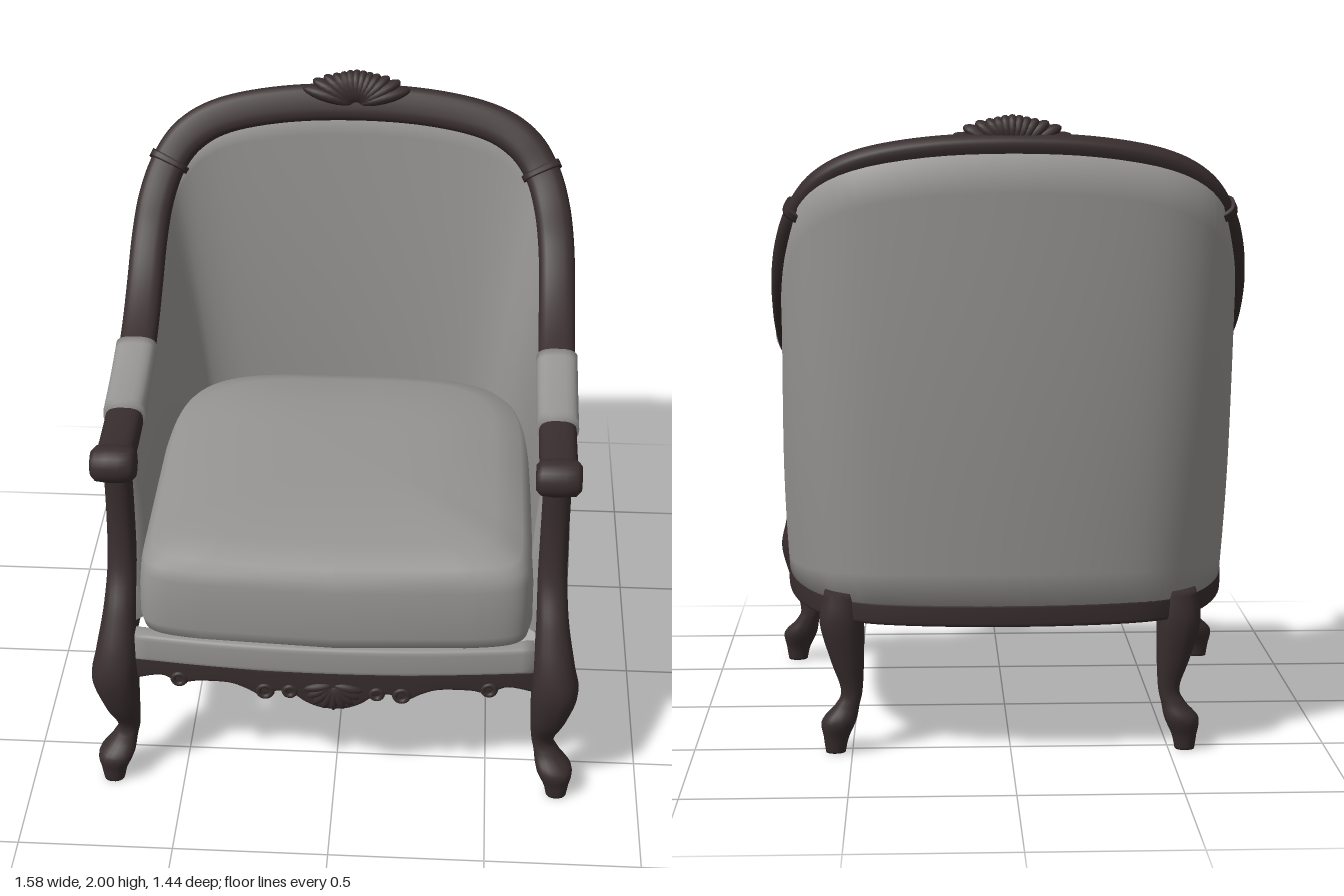
import * as THREE from 'three';

const wood = new THREE.MeshStandardMaterial({ color: 0x382d2e });
wood.name = 'dark wood';
const fabric = new THREE.MeshStandardMaterial({ color: 0x979593 });
fabric.name = 'grey fabric';

const V = (x, y, z) => new THREE.Vector3(x, y, z);
const spline = (pts) => new THREE.CatmullRomCurve3(pts, false, 'catmullrom', 0.5);
const spow = (v, e) => Math.sign(v) * Math.abs(v) ** e;

// Closed solid through equal-sized rings, with fan caps; faces always turn outward
function loft(rings) {
  const m = rings[0].length, pos = [], idx = [];
  rings.forEach((r) => r.forEach((p) => pos.push(p.x, p.y, p.z)));
  for (let i = 0; i < rings.length - 1; i++) {
    for (let j = 0; j < m; j++) {
      const a = i * m + j, b = i * m + (j + 1) % m;
      idx.push(a, b, a + m, b, b + m, a + m);
    }
  }
  [0, rings.length - 1].forEach((k) => {
    const c = V(0, 0, 0), centre = pos.length / 3;
    rings[k].forEach((p) => c.addScaledVector(p, 1 / m));
    pos.push(c.x, c.y, c.z);
    for (let j = 0; j < m; j++) {
      const a = k * m + j, b = k * m + (j + 1) % m;
      idx.push(...(k ? [a, b, centre] : [b, a, centre]));
    }
  });
  let volume = 0;
  const at = (i) => V(pos[3 * i], pos[3 * i + 1], pos[3 * i + 2]);
  for (let i = 0; i < idx.length; i += 3) volume += at(idx[i]).dot(at(idx[i + 1]).cross(at(idx[i + 2])));
  if (volume < 0) idx.reverse();
  const g = new THREE.BufferGeometry();
  g.setAttribute('position', new THREE.Float32BufferAttribute(pos, 3));
  g.setIndex(idx);
  g.computeVertexNormals();
  return g;
}

// Rounded cross-section around p, spanned by two directions
function section(p, du, dv, w, h, n = 2.8, count = 24) {
  return Array.from({ length: count }, (_, k) => {
    const a = (k / count) * Math.PI * 2;
    return p.clone().addScaledVector(du, spow(Math.cos(a), 2 / n) * w / 2)
      .addScaledVector(dv, spow(Math.sin(a), 2 / n) * h / 2);
  });
}

// Half of the frame, arm to crest: rail x, y, z, tilt, width, thickness, then plan x, z at seat level
const HALF = [
  [0.69, 1.18, 0.56, 0, 0.12, 0.095, 0.7, 0.72],
  [0.69, 1.183, 0.4, 0.04, 0.12, 0.095, 0.7, 0.5],
  [0.69, 1.2, 0.25, 0.15, 0.12, 0.09, 0.7, 0.3],
  [0.69, 1.235, 0.08, 0.28, 0.12, 0.085, 0.695, 0.08],
  [0.69, 1.295, -0.1, 0.42, 0.12, 0.08, 0.682, -0.1],
  [0.69, 1.38, -0.25, 0.62, 0.12, 0.08, 0.656, -0.25],
  [0.685, 1.49, -0.37, 0.82, 0.12, 0.08, 0.616, -0.37],
  [0.667, 1.6, -0.45, 0.95, 0.12, 0.08, 0.577, -0.45],
  [0.63, 1.695, -0.525, 1.0, 0.12, 0.08, 0.528, -0.52],
  [0.56, 1.78, -0.575, 1.05, 0.125, 0.08, 0.455, -0.572],
  [0.44, 1.838, -0.61, 1.08, 0.125, 0.08, 0.36, -0.605],
  [0.24, 1.872, -0.632, 1.1, 0.125, 0.08, 0.2, -0.63],
  [0, 1.882, -0.64, 1.1, 0.125, 0.08, 0, -0.64],
];
const mirrored = HALF.slice(0, -1).reverse().map(([x, y, z, a, w, h, bx, bz]) => [-x, y, z, a, w, h, -bx, bz]);
const ROWS = [...HALF, ...mirrored], LAST = ROWS.length - 1;
const railCurve = spline(ROWS.map((r) => V(r[0], r[1], r[2])));
const sizeCurve = spline(ROWS.map((r) => V(r[3], r[4], r[5])));
const planCurve = spline(ROWS.map((r) => V(r[6], 0, r[7])));

// Stretch of the top rail between two rows, optionally thicker and raised
function railPiece(from, to, steps, grow = 0, lift = 0) {
  const rings = [];
  for (let i = 0; i <= steps; i++) {
    const u = (from + (to - from) * i / steps) / LAST;
    const t = railCurve.getTangent(u), s = sizeCurve.getPoint(u);
    const n = V(0, Math.cos(s.x), Math.sin(s.x));
    n.addScaledVector(t, -n.dot(t)).normalize();
    const p = railCurve.getPoint(u).addScaledVector(n, lift);
    rings.push(section(p, t.clone().cross(n), n, s.y + grow, s.z + grow));
  }
  return loft(rings);
}

// Padded wall wrapping the sides and back; the inner padding starts at cushion level
function shellGeometry() {
  const rings = [], N = 84, L = 12;
  for (let i = 0; i <= N; i++) {
    const u = (0.75 + (LAST - 1.5) * i / N) / LAST;
    const base = planCurve.getPoint(u).setY(0.48), top = railCurve.getPoint(u);
    const t = planCurve.getTangent(u), out = V(-t.z, 0, t.x), back = Math.max(0, -out.z);
    const at = (k, offset) => {
      const p = base.clone().lerp(top, k);
      if (base.z > 0) p.z = base.z + (top.z - base.z) * (1 - (1 - k) ** 2);
      return p.addScaledVector(out, offset);
    };
    const ring = [];
    for (let j = 0; j <= L; j++) {
      const k = j / L;
      ring.push(at(k, 0.03 + 0.015 * Math.sin(Math.PI * k) + 0.05 * k * back ** 3));
    }
    for (let j = L; j >= 0; j--) {
      const k = 0.13 + 0.87 * j / L;
      ring.push(at(k, -0.03 - (0.04 + 0.045 * back) * (1 - k) - 0.02 * Math.sin(Math.PI * k)));
    }
    ring.push(at(0.06, 0.015));
    rings.push(ring);
  }
  return loft(rings);
}

// Seat rail following the plan of the shell
function seatRailGeometry() {
  const rings = [];
  for (let i = 0; i <= 72; i++) {
    const u = (0.4 + (LAST - 0.8) * i / 72) / LAST;
    const t = planCurve.getTangent(u);
    rings.push(section(planCurve.getPoint(u).setY(0.467), V(-t.z, 0, t.x), V(0, 1, 0), 0.066, 0.076, 6));
  }
  return loft(rings);
}

// Cushion outline: square and bowed at the front, rounder at the back; levels are [scale, y]
function cushionGeometry(levels) {
  const outline = Array.from({ length: 120 }, (_, k) => {
    const a = (k / 120) * Math.PI * 2, front = Math.sin(a) > 0, e = 2 / (front ? 15 : 4);
    const x = 0.628 * spow(Math.cos(a), e), z = 0.6 * spow(Math.sin(a), e);
    return [x, z + (front ? 0.05 * (1 - (x / 0.628) ** 2) * z / 0.6 : 0)];
  });
  return loft(levels.map(([s, y]) => outline.map(([x, z]) => V(x * s, y, 0.05 + z * s))));
}

// Cabriole profile: x, y, z, radius
const LEG = [
  [0.69, 1.16, 0.49, 0.044], [0.69, 0.95, 0.488, 0.045], [0.69, 0.78, 0.515, 0.047],
  [0.695, 0.65, 0.585, 0.052], [0.705, 0.52, 0.635, 0.066], [0.712, 0.42, 0.645, 0.076],
  [0.697, 0.3, 0.638, 0.058], [0.683, 0.2, 0.612, 0.037], [0.698, 0.15, 0.62, 0.042],
  [0.724, 0.1, 0.645, 0.059], [0.733, 0.045, 0.654, 0.043], [0.735, 0, 0.656, 0.034],
];
function legGeometry(rows, side) {
  const path = spline(rows.map((r) => V(r[0] * side, r[1], r[2])));
  const radius = spline(rows.map((r) => V(r[3], 0, 0)));
  const rings = [], n = rows.length * 5;
  for (let i = 0; i <= n; i++) {
    const d = radius.getPoint(i / n).x * 2;
    rings.push(section(path.getPoint(i / n), V(1, 0, 0), V(0, 0, 1), d, d, 2.3, 18));
  }
  return loft(rings);
}

const bow = (x) => 0.045 * (1 - (x / 0.66) ** 2);

// Bowed strip across the seat front between a lower edge curve and an upper height rule
function frontStrip(lower, upper, z, depth, n) {
  return loft(lower.map((p) => {
    const y = upper(p.x);
    return section(V(p.x, (y + p.y) / 2, z + bow(p.x)), V(0, 0, 1), V(0, 1, 0), depth, y - p.y, n, 20);
  }));
}

// Scalloped lower edge of the apron
function apronEdge() {
  const half = [[0.66, 0.41], [0.56, 0.44], [0.5, 0.415], [0.44, 0.43], [0.34, 0.435], [0.28, 0.415],
    [0.23, 0.39], [0.18, 0.415], [0.13, 0.405], [0.09, 0.375], [0.045, 0.355], [0, 0.35]];
  const pts = [...half, ...half.slice(0, -1).reverse().map(([x, y]) => [-x, y])];
  return spline(pts.map(([x, y]) => V(x, y, 0))).getPoints(110);
}

// Carved fan of leaves; length(angle) sets the silhouette
function leafFan(name, count, spread, length, width, depth) {
  const fan = new THREE.Group();
  fan.name = name;
  for (let i = 0; i < count; i++) {
    const a = spread * (2 * i / (count - 1) - 1), l = length(a);
    const leaf = new THREE.Mesh(new THREE.SphereGeometry(1, 14, 10), wood);
    leaf.name = 'leaf';
    leaf.scale.set(width, l / 2, depth);
    leaf.position.set(Math.sin(a) * l / 2, Math.cos(a) * l / 2, 0);
    leaf.rotation.z = -a;
    fan.add(leaf);
  }
  return fan;
}

export function createModel() {
  const chair = new THREE.Group();
  chair.name = 'armchair';
  const add = (name, geometry, material, x = 0, y = 0, z = 0) => {
    const mesh = new THREE.Mesh(geometry, material);
    mesh.name = name;
    mesh.position.set(x, y, z);
    chair.add(mesh);
    return mesh;
  };

  // Upholstery
  const deckEdge = Array.from({ length: 33 }, (_, i) => V(0.64 - 1.28 * i / 32, 0.49, 0));
  add('shell', shellGeometry(), fabric);
  add('seatDeck', frontStrip(deckEdge, () => 0.595, 0.63, 0.06, 5), fabric);
  add('cushion', cushionGeometry([[0.5, 0.585], [0.96, 0.585], [0.995, 0.6], [1.008, 0.64], [1.005, 0.74],
    [0.995, 0.81], [0.98, 0.85], [0.94, 0.88], [0.8, 0.915], [0.5, 0.935], [0.25, 0.94]]), fabric);

  // Frame
  add('topRail', railPiece(0, LAST, 144), wood);
  add('seatRail', seatRailGeometry(), wood);
  add('apron', frontStrip(apronEdge(), (x) => 0.505 + 0.012 * Math.cos(x * 7) ** 2, 0.635, 0.045, 6), wood);

  // Paired parts
  const knobProfile = [[0, -0.072], [0.04, -0.07], [0.056, -0.055], [0.06, -0.02], [0.06, 0.02],
    [0.056, 0.055], [0.04, 0.07], [0, 0.072]].map(([r, y]) => new THREE.Vector2(r, y));
  const rearRows = LEG.slice(4).map(([x, y, z, r]) => [x - 0.182, y, -0.527, r * 0.92]);
  for (const side of [1, -1]) {
    const span = (a, b) => (side > 0 ? [a, b] : [LAST - b, LAST - a]);
    add('armPad', railPiece(...span(1.6, 3.5), 12, 0.014, 0.014), fabric);
    add('railCollar', railPiece(...span(7.93, 8.13), 4, 0.018), wood);
    add('armKnob', new THREE.LatheGeometry(knobProfile, 24), wood, 0.69 * side, 1.18, 0.555).rotation.z = Math.PI / 2;
    add('frontPostAndLeg', legGeometry(LEG, side), wood);
    add('rearLeg', legGeometry(rearRows, side), wood);
    for (const [x, y, r] of [[0.22, 0.415, 0.022], [0.14, 0.42, 0.018], [0.5, 0.435, 0.02]]) {
      add('apronScroll', new THREE.TorusGeometry(r, 0.009, 8, 20), wood, x * side, y, 0.655 + bow(x));
    }
  }

  // Carvings
  const crest = leafFan('crestCarving', 13, 1.3, (a) => 0.115 + 0.085 * Math.sin(a) ** 4, 0.026, 0.04);
  crest.position.set(0, 1.886, -0.62);
  crest.rotation.x = -0.22;
  const pendant = leafFan('apronCarving', 9, 1.4, () => 0.1, 0.018, 0.018);
  pendant.position.set(0, 0.448, 0.695);
  pendant.rotation.z = Math.PI;
  chair.add(crest, pendant);
  return chair;
}
